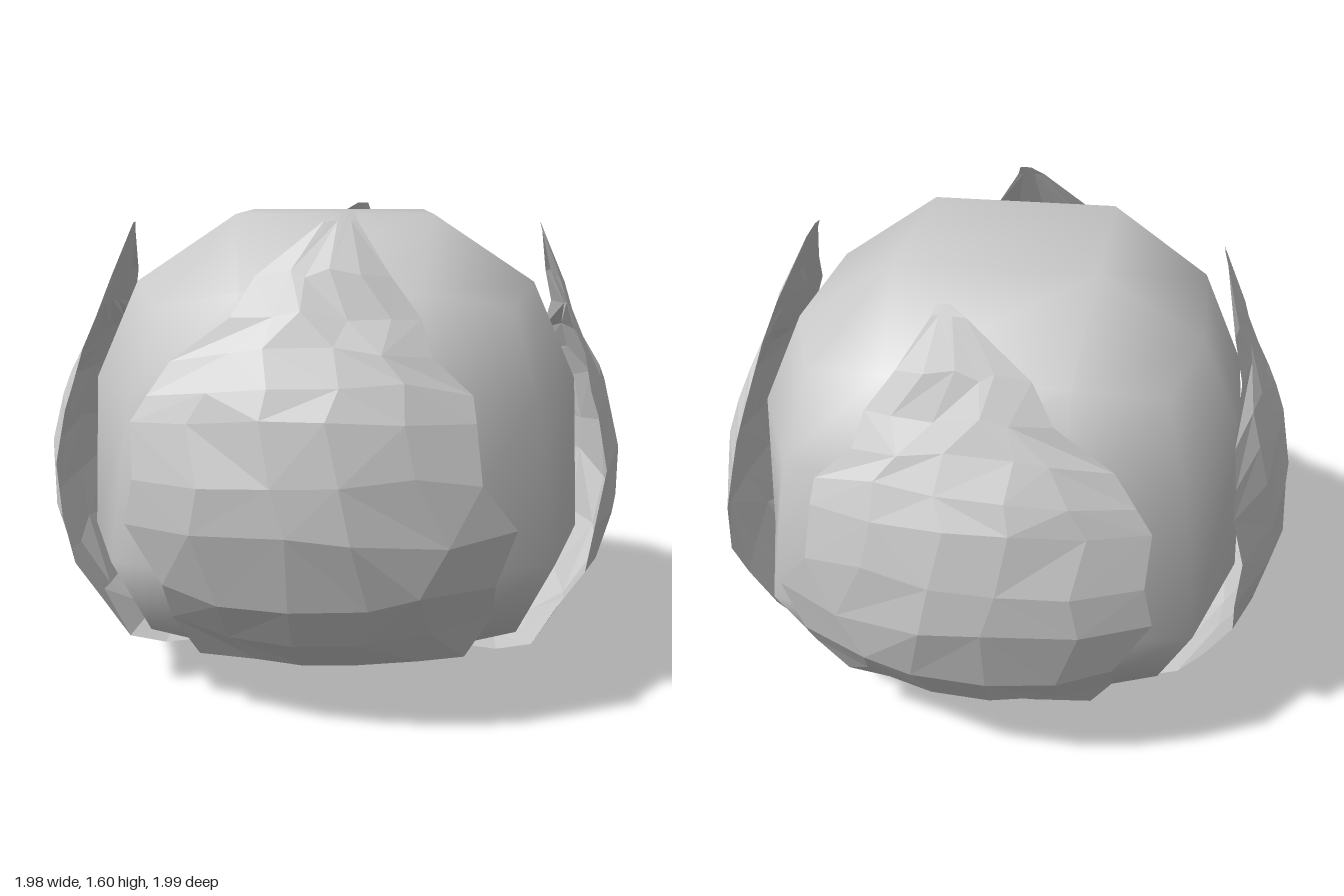
import * as THREE from 'three';
import { mergeVertices } from 'three/addons/utils/BufferGeometryUtils.js';

const smooth = new THREE.MeshStandardMaterial({ color: 0xcccccc, side: THREE.DoubleSide });
const faceted = new THREE.MeshStandardMaterial({ color: 0xcccccc, side: THREE.DoubleSide, flatShading: true });

// small seeded noise in -1..1
function makeNoise(seed) {
  return () => {
    seed = (seed * 16807) % 2147483647;
    return (seed / 2147483647) * 2 - 1;
  };
}

// body levels from bottom to top; each entry is [outer offset, inner offset, height]
// for points with neither, one or both of x and z on the outside
const bodyLevels = [
  [[0, 0.3, 0.2], [0.68, 0.28, 0.225], [0.59, 0, 0.26]],
  [null, [0.825, 0.28, 0.53], [0.69, 0, 0.52]],
  [null, [0.8, 0.28, 1.04], [0.63, 0, 1.02]],
  [[0, 0.32, 1.58], [0.655, 0.28, 1.36], [0.555, 0, 1.3]],
];

// rounded fruit: a 3 x 3 x 3 cube puffed out to a ball, fuller low down, flat below
function bodyGeometry() {
  let g = new THREE.BoxGeometry(2, 2, 2, 3, 3, 3);
  g.deleteAttribute('uv');
  g.deleteAttribute('normal');
  g = mergeVertices(g, 1e-3);
  const p = g.attributes.position;
  for (let i = 0; i < p.count; i++) {
    const x = p.getX(i);
    const z = p.getZ(i);
    const level = Math.round((p.getY(i) + 1) * 1.5);
    const outside = [x, z].filter((c) => Math.abs(c) > 0.9).length;
    const [outer, inner, height] = bodyLevels[level][outside];
    const place = (c) => Math.sign(c) * (Math.abs(c) > 0.9 ? outer : inner);
    p.setXYZ(i, place(x), height, place(z));
  }
  g.computeVertexNormals();
  return g;
}

// petal rows from tip to stem: [height, distance from axis, left edge, right edge]
const petalRows = [
  [1.6, 0.66, 0.05, 0.09], [1.57, 0.675, 0.0, 0.1], [1.42, 0.745, -0.2, 0.2],
  [1.31, 0.8, -0.27, 0.29], [1.21, 0.855, -0.45, 0.32], [1.12, 0.905, -0.52, 0.44],
  [1.03, 0.945, -0.57, 0.45], [0.84, 0.99, -0.56, 0.47], [0.66, 0.995, -0.59, 0.58],
  [0.45, 0.94, -0.48, 0.52], [0.29, 0.83, -0.47, 0.52], [0.18, 0.69, -0.4, 0.44],
  [0.15, 0.56, -0.42, 0.42], [0.16, 0.39, -0.38, 0.38], [0.12, 0.28, -0.26, 0.26],
  [0.05, 0.19, -0.16, 0.16],
];

// curved, crumpled sheet spanned between the row edges; lean tips the top outwards
function petalGeometry(seed, lean) {
  const noise = makeNoise(seed);
  const cols = 5;
  const last = petalRows.length - 1;
  const pos = [];
  const index = [];
  petalRows.forEach(([y, z, left, right], r) => {
    const a = petalRows[Math.max(r - 1, 0)];
    const b = petalRows[Math.min(r + 1, last)];
    const len = Math.hypot(a[0] - b[0], a[1] - b[1]);
    const nz = (a[0] - b[0]) / len;
    const ny = (b[1] - a[1]) / len;
    const bend = y < 0.25 ? 0.2 : 0.47;
    const out = z + lean * Math.max(0, y - 1);
    for (let c = 0; c <= cols; c++) {
      const inner = c > 0 && c < cols && r > 1 && r < last - 1 ? 1 : 0;
      const u = left + (right - left) * (c / cols) + inner * noise() * 0.03;
      const off = -bend * u * u + inner * noise() * 0.008;
      const slide = inner * noise() * len * 0.08;
      pos.push(u, y + ny * off + nz * slide, out + nz * off - ny * slide);
    }
  });
  for (let r = 0; r < last; r++) {
    for (let c = 0; c < cols; c++) {
      const i = r * (cols + 1) + c;
      const j = i + cols + 1;
      // alternate the diagonal for an irregular facet pattern
      if (noise() > 0) index.push(i, j, i + 1, i + 1, j, j + 1);
      else index.push(i, j, j + 1, i, j + 1, i + 1);
    }
  }
  const g = new THREE.BufferGeometry();
  g.setAttribute('position', new THREE.Float32BufferAttribute(pos, 3));
  g.setIndex(index);
  g.computeVertexNormals();
  return g;
}

export function createModel() {
  const model = new THREE.Group();
  model.name = 'fruit';

  const add = (name, geometry, material) => {
    const mesh = new THREE.Mesh(geometry, material);
    mesh.name = name;
    model.add(mesh);
    return mesh;
  };

  // the body sits slightly turned inside the petals
  add('body', bodyGeometry(), smooth).rotation.y = 0.035;

  // front and back petals mirror each other
  const front = petalGeometry(71, 0);
  add('frontPetal', front, faceted);
  add('backPetal', front, faceted).scale.z = -1;

  // side petals: slightly wider and lower, mirrored left to right
  const side = petalGeometry(137, 0.07);
  side.scale(-1.08, 0.985, 1);
  side.translate(0, -0.03, 0);
  side.rotateY(Math.PI / 2);
  add('leftPetal', side, faceted);
  add('rightPetal', side, faceted).scale.x = -1;

  // stub of the stem
  const profile = [[0, 0], [0.19, 0], [0.19, 0.05], [0.2, 0.19]]
    .map(([r, y]) => new THREE.Vector2(r, y));
  const stem = add('stem', new THREE.LatheGeometry(profile, 8), smooth);
  stem.position.set(-0.02, 0, -0.02);
  stem.rotation.y = Math.PI / 8;

  return model;
}
